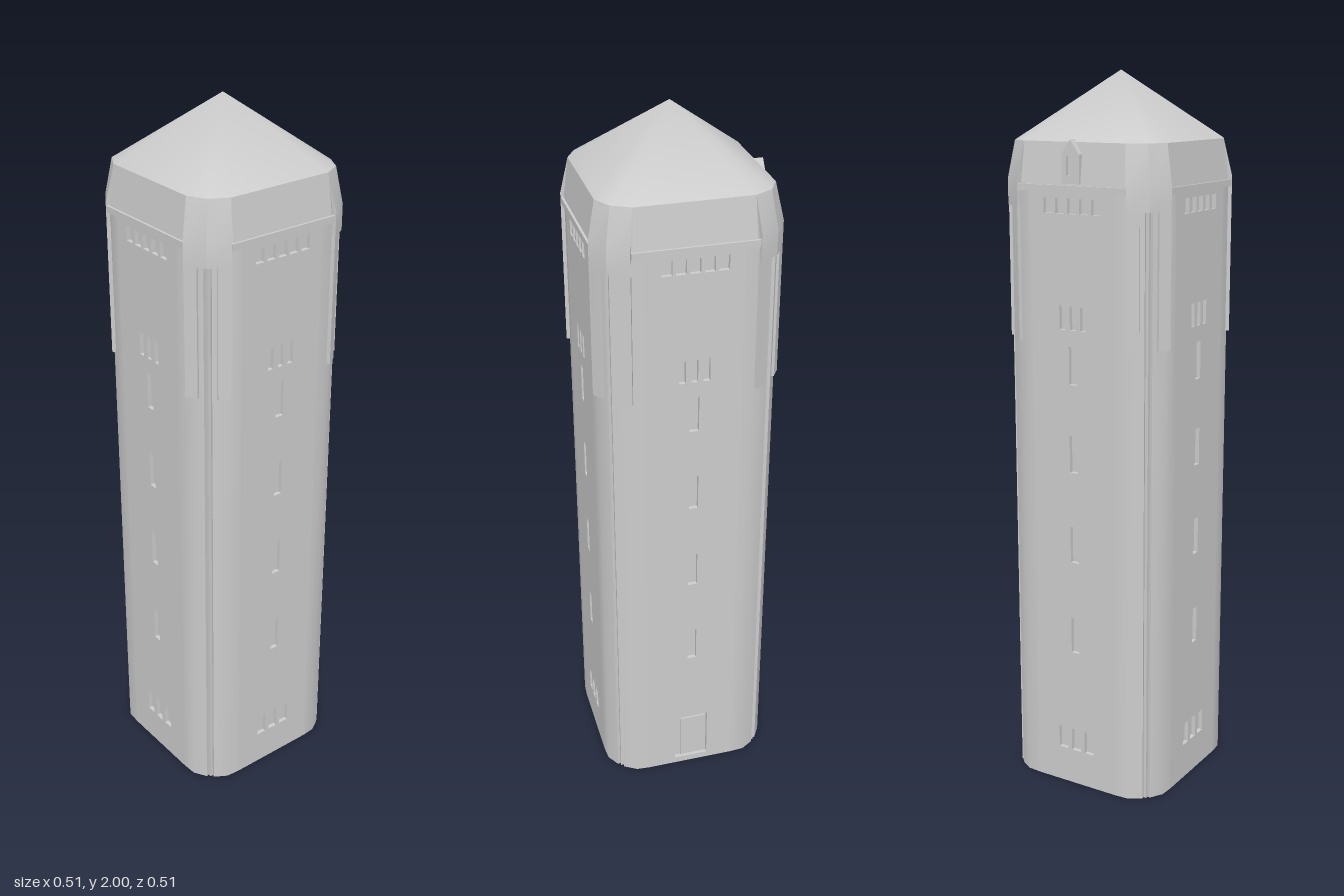
import * as THREE from 'three';
import { toCreasedNormals } from 'three/addons/utils/BufferGeometryUtils.js';

const stone = new THREE.MeshStandardMaterial({ color: 0xcccccc });
stone.name = 'palestone';

function add(parent, geometry, name) {
  const mesh = new THREE.Mesh(geometry, stone);
  mesh.name = name;
  parent.add(mesh);
  return mesh;
}

// Closed solid through stacked [x, z] rings; apex lifts the centre of the top
function loft(rings, heights, crease = 0.3, apex = heights[heights.length - 1]) {
  const n = rings[0].length;
  const area = rings[0].reduce((s, p, i) => {
    const q = rings[0][(i + 1) % n];
    return s + p[0] * q[1] - q[0] * p[1];
  }, 0);
  if (area < 0) rings = rings.map((r) => [...r].reverse());
  const pos = [], idx = [], last = rings.length - 1;
  rings.forEach((r, k) => r.forEach(([x, z]) => pos.push(x, heights[k], z)));
  const centre = (r, y) => {
    pos.push(r.reduce((s, p) => s + p[0], 0) / n, y, r.reduce((s, p) => s + p[1], 0) / n);
    return pos.length / 3 - 1;
  };
  const bottom = centre(rings[0], heights[0]), top = centre(rings[last], apex);
  for (let i = 0; i < n; i++) {
    const j = (i + 1) % n;
    for (let k = 0; k < last; k++) {
      const a = k * n + i, b = k * n + j;
      idx.push(a, a + n, b, b, a + n, b + n);
    }
    idx.push(bottom, i, j, top, last * n + j, last * n + i);
  }
  const g = new THREE.BufferGeometry();
  g.setAttribute('position', new THREE.Float32BufferAttribute(pos, 3));
  g.setIndex(idx);
  return toCreasedNormals(g, crease);
}

// Repeat one corner's [x, z] points around the four corners
function fourCorners(points) {
  const ring = [];
  for (let k = 0; k < 4; k++) {
    for (const [x, z] of points) {
      ring.push([[x, z], [z, -x], [-x, -z], [-z, x]][k]);
    }
  }
  return ring;
}

// Outline of a corner, mirrored over its diagonal
const mirrored = (half, mid) => [...half, mid, ...half.map(([x, z]) => [z, x]).reverse()];

function rect(x, y, w, h) {
  const p = new THREE.Path();
  p.moveTo(x - w / 2, y - h / 2);
  p.lineTo(x + w / 2, y - h / 2);
  p.lineTo(x + w / 2, y + h / 2);
  p.lineTo(x - w / 2, y + h / 2);
  p.closePath();
  return p;
}

// Wall face with recessed window openings
function wallPanel(hasDoor) {
  const shape = new THREE.Shape(rect(0, 0.85, 0.26, 1.7).getPoints());
  const row = (count, step, y, w, h) => {
    for (let i = 0; i < count; i++) {
      shape.holes.push(rect((i - (count - 1) / 2) * step, y, w, h));
    }
  };
  row(5, 0.037, 1.657, 0.028, 0.04);
  row(3, 0.033, 1.363, 0.018, 0.064);
  for (const y of [1.235, 0.99, 0.73, 0.46]) row(1, 0, y, 0.026, 0.104);
  if (hasDoor) row(1, 0, 0.1, 0.1, 0.16);
  else row(3, 0.043, 0.137, 0.03, 0.066);
  return new THREE.ExtrudeGeometry(shape, { depth: 0.012, bevelEnabled: false });
}

export function createModel() {
  const tower = new THREE.Group();
  tower.name = 'tower';

  // Shaft with rounded corners and a narrow ridge on each
  const shaft = fourCorners(mirrored(
    [[0.13, 0.234], [0.13, 0.246], [0.17, 0.243], [0.206, 0.221], [0.204, 0.213]],
    [0.213, 0.213]));
  add(tower, loft([shaft, shaft], [0, 1.7], 0.6), 'shaft');

  // Sloping band under the eaves, and the roof
  const bandBase = fourCorners(mirrored([[0.16, 0.247]], [0.205, 0.205]));
  const eaves = fourCorners(mirrored([[0.155, 0.232]], [0.205, 0.205]));
  add(tower, loft([bandBase, eaves], [1.7, 1.82]), 'parapet');
  add(tower, loft([eaves], [1.82], 1.5, 2), 'roof');

  // Corner turret sections
  const capTop = mirrored([[0.148, 0.2], [0.155, 0.232]], [0.205, 0.205]);
  const capOuter = mirrored([[0.158, 0.22], [0.168, 0.253]], [0.22, 0.22]);
  const leg = [[0.168, 0.253], [0.197, 0.2346], [0.19, 0.218], [0.16, 0.235]];
  const capGeometry = loft([capOuter, capOuter, capTop], [1.65, 1.72, 1.82]);
  const legGeometries = [leg, leg.map(([x, z]) => [z, x])].map((r) => loft([r, r], [1.29, 1.65]));
  const lipGeometry = new THREE.BoxGeometry(0.33, 0.018, 0.02);

  for (let k = 0; k < 4; k++) {
    const side = new THREE.Group();
    side.name = ['frontSide', 'leftSide', 'backSide', 'rightSide'][k];
    side.rotation.y = k * Math.PI / 2;
    add(side, wallPanel(k === 2), 'wallPanel').position.z = 0.234;
    add(side, lipGeometry, 'ledge').position.set(0, 1.701, 0.2425);
    add(side, capGeometry, 'cornerCap');
    for (const g of legGeometries) add(side, g, 'cornerPilaster');
    // Back door leaf inside its opening
    if (k === 2) {
      add(side, new THREE.BoxGeometry(0.078, 0.145, 0.006), 'door').position.set(0.008, 0.095, 0.236);
    }
    tower.add(side);
  }

  // Small gabled dormer at the eaves
  const gable = new THREE.Shape();
  gable.moveTo(-0.027, 1.715);
  gable.lineTo(0.027, 1.715);
  gable.lineTo(0.027, 1.79);
  gable.lineTo(0, 1.827);
  gable.lineTo(-0.027, 1.79);
  gable.closePath();
  gable.holes.push(rect(0, 1.76, 0.024, 0.05));
  const dormer = new THREE.Group();
  dormer.name = 'dormer';
  dormer.rotation.y = -Math.PI / 2;
  add(dormer, new THREE.ExtrudeGeometry(gable, { depth: 0.03, bevelEnabled: false }), 'dormerFrame')
    .position.z = 0.221;
  add(dormer, new THREE.BoxGeometry(0.024, 0.05, 0.01), 'dormerShutter').position.set(0, 1.76, 0.238);
  tower.add(dormer);

  return tower;
}
